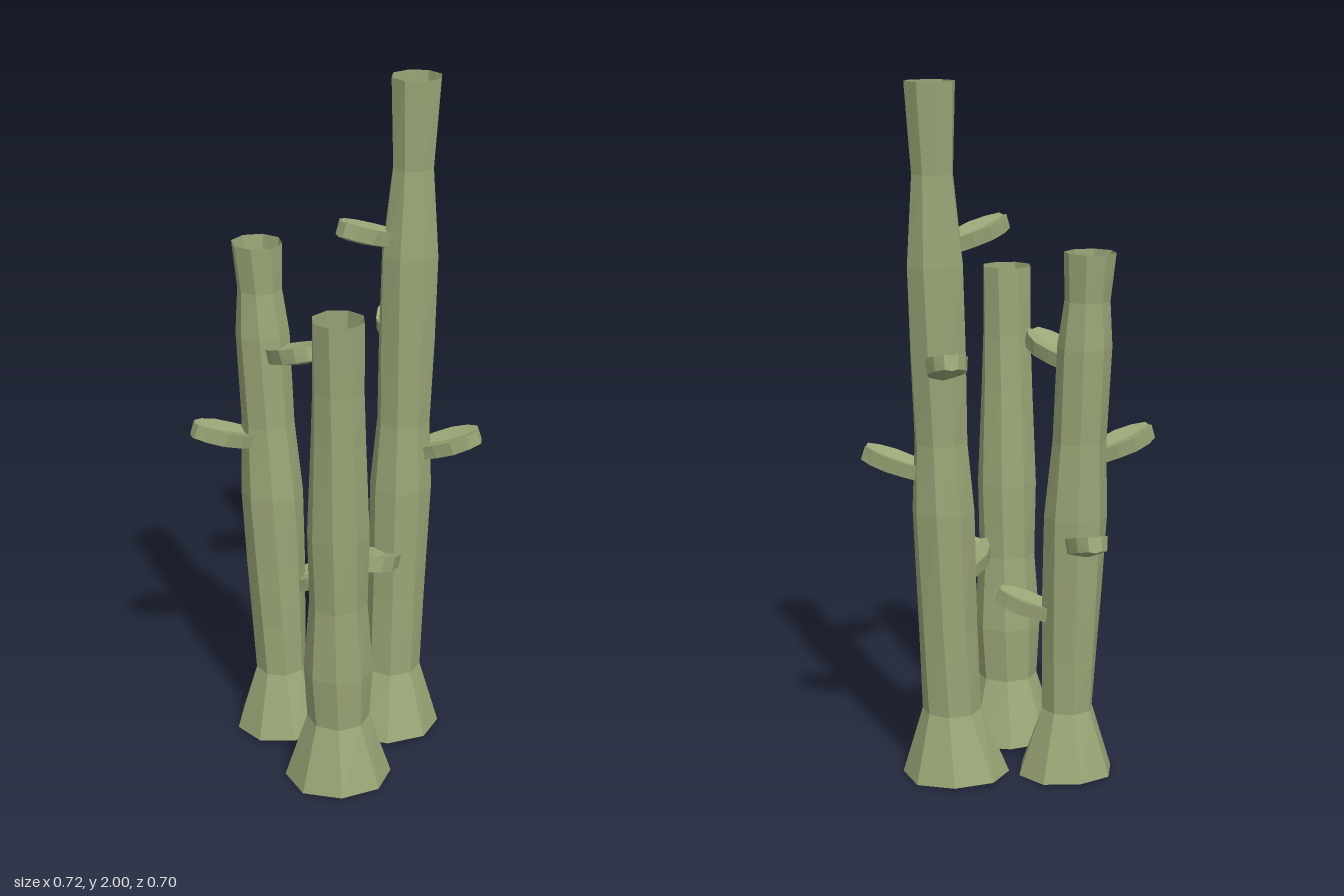
import * as THREE from 'three';

const SIDES = 8;

// Skin equal-length closed rings into one flat-faced surface, optionally capping the ends
function loft(rings, capped) {
  const n = rings[0].length;
  const last = (rings.length - 1) * n;
  const index = [];
  for (let i = 0; i < last; i += n) {
    for (let j = 0; j < n; j++) {
      const a = i + j, b = i + (j + 1) % n;
      index.push(a, a + n, b, b, a + n, b + n);
    }
  }
  if (capped) {
    for (let j = 1; j < n - 1; j++) {
      index.push(0, j, j + 1, last, last + j + 1, last + j);
    }
  }
  const geo = new THREE.BufferGeometry();
  geo.setAttribute('position', new THREE.Float32BufferAttribute(rings.flat(2), 3));
  geo.setIndex(index);
  const flat = geo.toNonIndexed();
  flat.computeVertexNormals();
  return flat;
}

// Thick oval pad of unit length along +z, with a shallow crease down the middle
function padGeometry() {
  const h = 0.021;
  const stations = [[0, 0.036], [0.25, 0.051], [0.55, 0.059], [0.82, 0.045], [1, 0.02]];
  return loft(stations.map(([z, w]) => {
    const low = w * 0.92, dip = w * 0.22;
    return [
      [0, h - dip, z], [w, h, z], [low, -h, z],
      [0, -h - dip, z], [-low, -h, z], [-w, h, z],
    ];
  }), true);
}

// Leaning hollow stalk: rings are [height, radius], pads are tip points
function makeStalk(name, material, { foot, top, bend, turn, rings, padTips }) {
  const group = new THREE.Group();
  group.name = name;
  const height = rings[rings.length - 1][0];
  const centre = (y) => {
    const t = Math.pow(y / height, bend);
    return new THREE.Vector3(
      THREE.MathUtils.lerp(foot[0], top[0], t), y, THREE.MathUtils.lerp(foot[1], top[1], t));
  };

  const loops = rings.map(([y, r], i) => {
    const c = centre(y);
    return Array.from({ length: SIDES }, (_, j) => {
      const a = turn + i * 0.06 + (j / SIDES) * Math.PI * 2;
      // slightly uneven foot
      const lift = i === 0 ? 0.006 * (1 + Math.sin(a * 2)) : 0;
      return [c.x + r * Math.cos(a), y + lift, c.z + r * Math.sin(a)];
    });
  });
  const tube = new THREE.Mesh(loft(loops, false), material);
  tube.name = 'tube';
  group.add(tube);

  // Pads grow out and up from just inside the wall
  const pad = padGeometry();
  padTips.forEach((point, i) => {
    const tip = new THREE.Vector3(...point);
    const start = centre(tip.y - 0.055);
    const out = new THREE.Vector3(tip.x - start.x, 0, tip.z - start.z);
    start.addScaledVector(out.normalize(), 0.056);
    const mesh = new THREE.Mesh(pad, material);
    mesh.name = 'pad' + (i + 1);
    mesh.position.copy(start);
    mesh.lookAt(tip);
    mesh.scale.z = start.distanceTo(tip);
    group.add(mesh);
  });
  return group;
}

export function createModel() {
  const model = new THREE.Group();
  model.name = 'stalkCluster';
  const green = new THREE.MeshStandardMaterial({
    color: 0x9aa677, flatShading: true, side: THREE.DoubleSide,
  });
  green.name = 'sage green';

  model.add(makeStalk('frontStalk', green, {
    foot: [0.12, 0.2], top: [0.15, 0.257], bend: 1.4, turn: 0.22,
    rings: [[0, 0.155], [0.2, 0.09], [0.36, 0.099], [0.58, 0.083],
      [0.8, 0.088], [1.09, 0.077], [1.24, 0.073], [1.445, 0.074]],
    padTips: [],
  }));

  model.add(makeStalk('rightStalk', green, {
    foot: [-0.163, 0.033], top: [-0.228, 0.036], bend: 1.3, turn: 0,
    rings: [[0, 0.141], [0.2, 0.075], [0.36, 0.08], [0.55, 0.086], [0.78, 0.09],
      [1, 0.076], [1.27, 0.077], [1.4, 0.064], [1.535, 0.073]],
    padTips: [[-0.335, 0.76, -0.14], [-0.34, 1.01, 0.21],
      [-0.005, 1.275, 0.115], [0.015, 0.54, -0.05]],
  }));

  model.add(makeStalk('backStalk', green, {
    foot: [0.115, -0.125], top: [0.153, -0.18], bend: 0.7, turn: 0.3,
    rings: [[0, 0.155], [0.2, 0.085], [0.45, 0.085], [0.8, 0.09], [1, 0.077],
      [1.25, 0.082], [1.5, 0.083], [1.75, 0.06], [2, 0.072]],
    padTips: [[0.005, 1.27, -0.33], [0.345, 0.965, -0.235],
      [0.03, 1.61, 0.02], [0.14, 0.64, 0.08]],
  }));

  return model;
}
